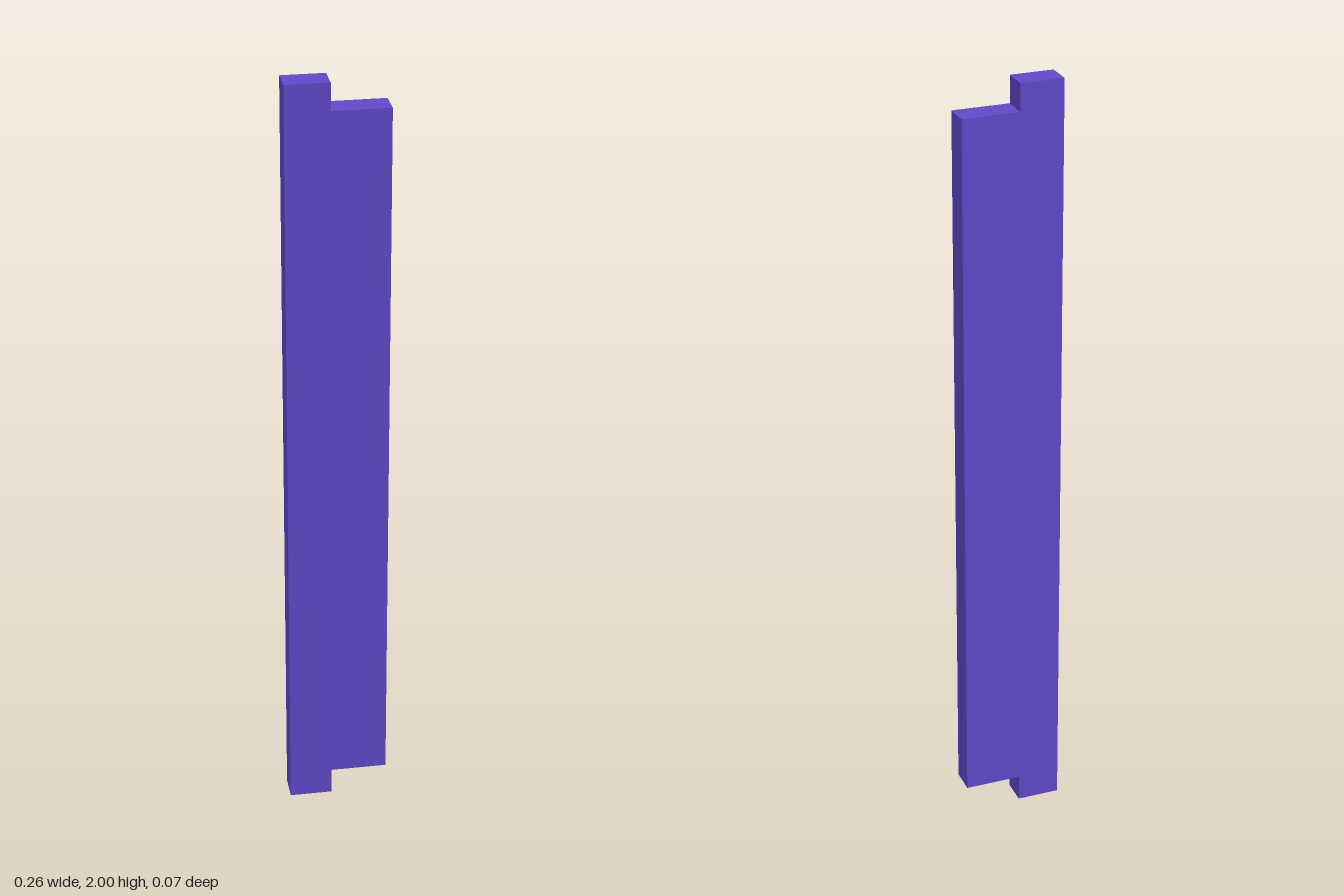
import * as THREE from 'three';

// Flat plank with one corner notched at each end, leaving a tab on the right side
export function createModel() {
  const group = new THREE.Group();
  group.name = 'notchedPlank';

  const halfWidth = 0.129, height = 2, depth = 0.069;
  const tabEdge = -0.018, notch = 0.07;

  const outline = new THREE.Shape([
    [-halfWidth, 0], [tabEdge, 0], [tabEdge, notch], [halfWidth, notch],
    [halfWidth, height - notch], [tabEdge, height - notch],
    [tabEdge, height], [-halfWidth, height],
  ].map(([x, y]) => new THREE.Vector2(x, y)));

  const geometry = new THREE.ExtrudeGeometry(outline, { depth, bevelEnabled: false });
  geometry.translate(0, 0, -depth / 2);

  const plank = new THREE.Mesh(geometry, new THREE.MeshStandardMaterial({ color: 0x6048c8 }));
  plank.name = 'plank';
  group.add(plank);
  return group;
}
